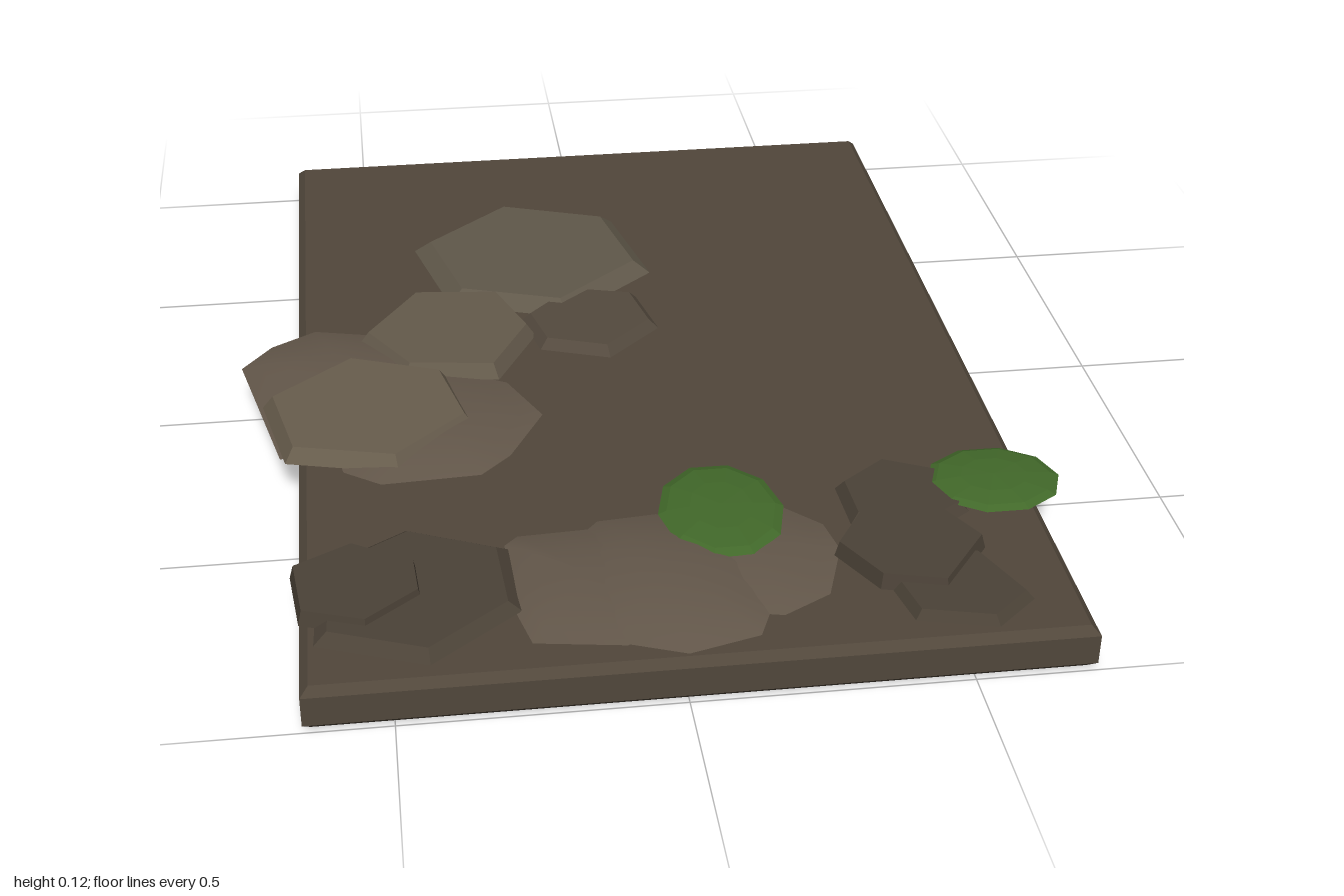
import * as THREE from 'three';

const BASE = 0.088; // height of the slab's top

// Lofts a clockwise plan outline through [scale, y] rings, closed by a top point and a flat bottom.
function loft(outline, rings, topY, smooth) {
  const n = outline.length, pos = [], idx = [];
  const cx = outline.reduce((s, p) => s + p[0], 0) / n;
  const cz = outline.reduce((s, p) => s + p[1], 0) / n;
  const addRing = (scale, y) => {
    for (const [x, z] of outline) pos.push(cx + (x - cx) * scale, y, cz + (z - cz) * scale);
  };
  rings.forEach(([s, y]) => addRing(s, y));
  addRing(...rings[0]); // separate rim keeps the bottom edge sharp
  const top = pos.length / 3, bottom = top + 1;
  pos.push(cx, topY, cz, cx, rings[0][1], cz);
  const last = (rings.length - 1) * n, under = rings.length * n;
  for (let i = 0; i < n; i++) {
    const j = (i + 1) % n;
    for (let r = 0; r < rings.length - 1; r++) {
      const a = r * n, b = a + n;
      idx.push(a + i, b + i, b + j, a + i, b + j, a + j);
    }
    idx.push(top, last + j, last + i, bottom, under + i, under + j);
  }
  let g = new THREE.BufferGeometry();
  g.setAttribute('position', new THREE.Float32BufferAttribute(pos, 3));
  g.setIndex(idx);
  if (!smooth) g = g.toNonIndexed();
  g.computeVertexNormals();
  return g;
}

export function createModel() {
  const group = new THREE.Group();
  const add = (name, geometry, color, flatShading = true) => {
    const mesh = new THREE.Mesh(geometry, new THREE.MeshStandardMaterial({ color, flatShading }));
    mesh.name = name;
    group.add(mesh);
    return mesh;
  };

  // Ground slab with chamfered edges
  const c = 0.015, x0 = -0.655 + c, x1 = 0.715 - c, z1 = 1 - c;
  const plan = new THREE.Shape([[x0, -z1], [x1, -z1], [x1, z1], [x0, z1]].map(p => new THREE.Vector2(...p)));
  const slab = new THREE.ExtrudeGeometry(plan, {
    depth: BASE - 2 * c, bevelEnabled: true, bevelSize: c, bevelThickness: c, bevelSegments: 1,
  });
  slab.rotateX(-Math.PI / 2).translate(0, c, 0);
  add('groundSlab', slab, 0x51473b);

  // Flat six-sided stones: plan outline, top height, size of the top face, colour
  const stones = [
    ['largeBackStone', 0.122, 0.86, 0x60584a,
      [[-0.19, -0.70], [0.06, -0.61], [0.115, -0.355], [-0.09, -0.18], [-0.33, -0.26], [-0.395, -0.52]]],
    ['middleStone', 0.124, 0.89, 0x645a4b,
      [[-0.41, -0.295], [-0.22, -0.275], [-0.16, -0.11], [-0.25, 0.06], [-0.44, 0.035], [-0.53, -0.115]]],
    ['smallBackStone', 0.115, 0.86, 0x544a3e,
      [[-0.075, -0.29], [0.07, -0.25], [0.10, -0.11], [-0.015, 0], [-0.155, -0.05], [-0.185, -0.175]]],
    ['sideStone', 0.124, 0.90, 0x685d4d,
      [[-0.55, -0.035], [-0.355, 0.04], [-0.31, 0.23], [-0.465, 0.375], [-0.68, 0.32], [-0.725, 0.11]]],
    ['lowerCornerStone', 0.112, 0.87, 0x4b4237,
      [[-0.46, 0.57], [-0.28, 0.65], [-0.27, 0.835], [-0.435, 0.965], [-0.63, 0.89], [-0.62, 0.67]]],
    ['upperCornerStone', 0.124, 0.94, 0x4b4237,
      [[-0.67, 0.69], [-0.56, 0.63], [-0.445, 0.70], [-0.44, 0.79], [-0.54, 0.87], [-0.655, 0.83]]],
    ['clusterBackStone', 0.115, 0.86, 0x4b4237,
      [[0.445, 0.455], [0.56, 0.51], [0.575, 0.635], [0.48, 0.70], [0.35, 0.65], [0.345, 0.53]]],
    ['clusterTopStone', 0.125, 0.94, 0x4b4237,
      [[0.365, 0.64], [0.52, 0.65], [0.575, 0.75], [0.475, 0.88], [0.36, 0.85], [0.30, 0.74]]],
    ['clusterFrontStone', 0.112, 0.88, 0x4b4237,
      [[0.56, 0.77], [0.62, 0.91], [0.54, 0.98], [0.40, 0.945], [0.38, 0.85], [0.48, 0.74]]],
  ];
  for (const [name, top, inset, color, outline] of stones) {
    add(name, loft(outline, [[1, BASE + 0.007], [inset, top]], top, false), color);
  }

  // Low, smooth mounds of loose earth
  const mounds = [
    ['sideEarth', 0.115, [[-0.62, -0.185], [-0.5, -0.155], [-0.38, -0.05], [-0.36, 0.1],
      [-0.45, 0.25], [-0.69, 0.3], [-0.77, -0.05], [-0.71, -0.13]]],
    ['middleEarth', 0.115, [[-0.36, 0], [-0.235, 0.07], [-0.175, 0.2], [-0.25, 0.34], [-0.31, 0.40],
      [-0.5, 0.41], [-0.57, 0.36], [-0.6, 0.2], [-0.5, 0.05]]],
    ['frontLeftEarth', 0.112, [[-0.26, 0.61], [-0.07, 0.6], [0.02, 0.7], [0, 0.88], [-0.1, 0.95],
      [-0.26, 0.925], [-0.29, 0.8], [-0.285, 0.635]]],
    ['frontEarth', 0.12, [[-0.11, 0.58], [0, 0.57], [0.13, 0.62], [0.19, 0.75], [0.16, 0.88],
      [0.13, 0.95], [0, 0.985], [-0.13, 0.935], [-0.2, 0.82], [-0.18, 0.66]]],
    ['frontRightEarth', 0.112, [[0, 0.62], [0.1, 0.55], [0.22, 0.56], [0.30, 0.64], [0.315, 0.72],
      [0.27, 0.85], [0.18, 0.9], [0.05, 0.87], [-0.02, 0.75]]],
  ];
  // Left and right are the model's own, so +x is left
  const mirrored = { frontLeftEarth: 'frontRightEarth', frontRightEarth: 'frontLeftEarth' };
  for (const [name, top, outline] of mounds) {
    const low = BASE + 0.005, h = top - low;
    const rings = [[1, low], [0.8, low + 0.4 * h], [0.55, low + 0.75 * h], [0.28, low + 0.94 * h]];
    add(mirrored[name] ?? name, loft(outline, rings, top, true), 0x63574a, false);
  }

  // Flattened moss clumps
  for (const [name, x, z, rx, rz] of [['frontMoss', 0.117, 0.597, 0.117, 0.153], ['edgeMoss', 0.64, 0.56, 0.127, 0.11]]) {
    const moss = add(name, new THREE.SphereGeometry(1, 10, 6), 0x42692a);
    moss.scale.set(rx, 0.014, rz);
    moss.position.set(x, 0.111, z);
  }
  return group;
}
